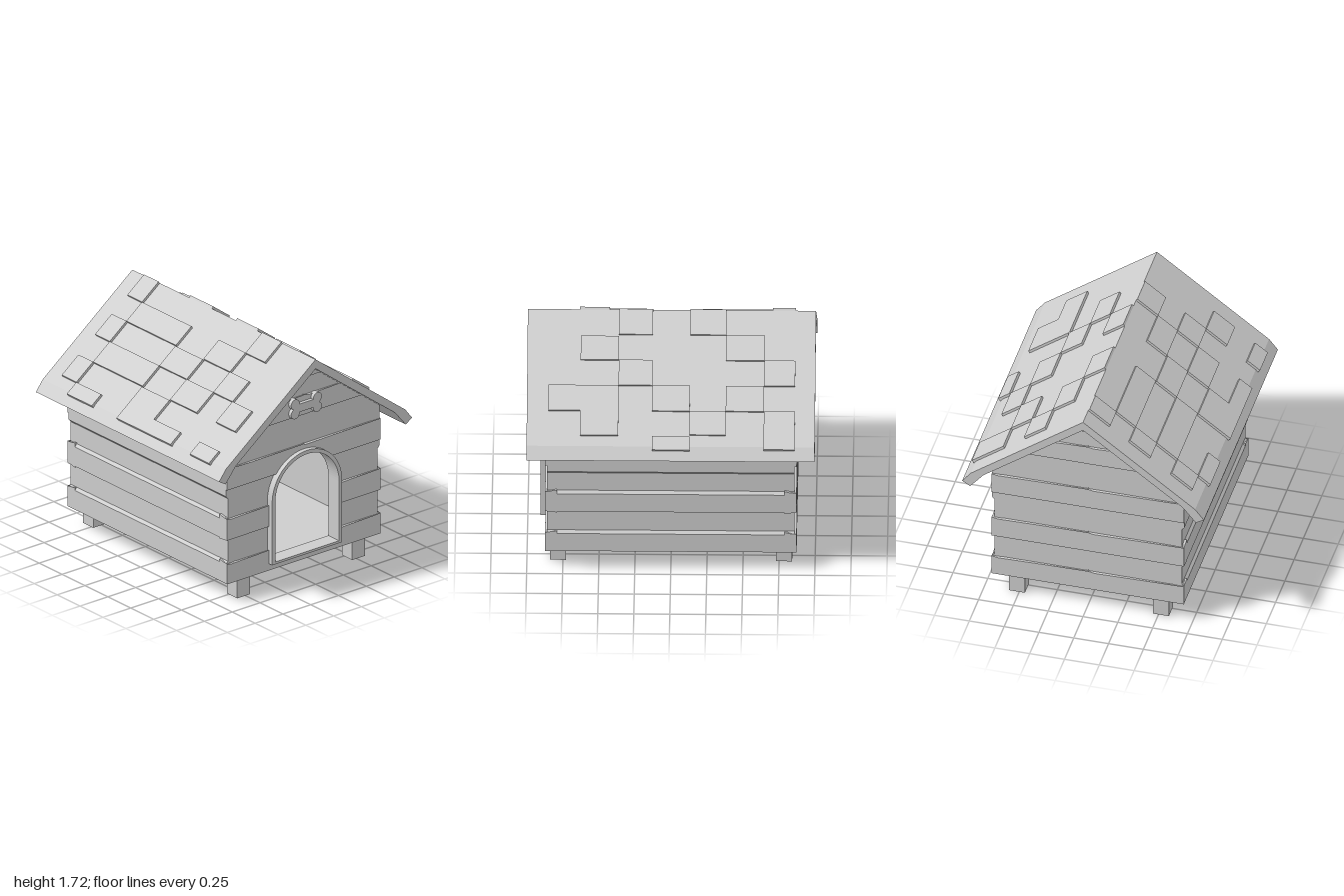
import * as THREE from 'three';

export function createModel() {
  const model = new THREE.Group();
  const grey = new THREE.MeshStandardMaterial({ color: 0xcccccc });
  grey.name = 'paleGrey';

  const add = (name, geo, parent = model) => {
    const mesh = new THREE.Mesh(geo, grey);
    mesh.name = name;
    parent.add(mesh);
    return mesh;
  };
  const group = (name) => {
    const g = new THREE.Group();
    g.name = name;
    model.add(g);
    return g;
  };
  const box = (name, w, h, d, x, y, z, parent) =>
    add(name, new THREE.BoxGeometry(w, h, d).translate(x, y, z), parent);
  const shapeOf = (pts) => new THREE.Shape(pts.map(([a, b]) => new THREE.Vector2(a, b)));
  // Extrude a (z, y) outline along x, from x0 to x1
  const alongX = (shape, x0, x1, segs = 12) =>
    new THREE.ExtrudeGeometry(shape, { depth: x1 - x0, bevelEnabled: false, curveSegments: segs })
      .translate(0, 0, x0).rotateY(Math.PI / 2);

  // Floor and feet
  box('floor', 1.7, 0.06, 1.34, 0, 0.18, 0);
  for (const x of [-0.785, 0.785])
    for (const z of [-0.517, 0.517]) box('foot', 0.112, 0.16, 0.115, x, 0.08, z);

  // Long side walls with alternating proud and recessed boards
  const side = [[0.62, 0.15], [0.69, 0.15], [0.69, 0.295], [0.672, 0.315], [0.672, 0.47], [0.69, 0.478],
    [0.69, 0.625], [0.672, 0.645], [0.672, 0.79], [0.69, 0.81], [0.69, 1.12], [0.62, 1.17]];
  for (const s of [-1, 1])
    add('sideWall', alongX(shapeOf(side.map(([z, y]) => [s * z, y])), -0.858, 0.858));

  // Gable walls: boards cut to the roof line and, at the front, to the doorway
  const roofLimit = (y) => Math.max(0, (1.64 - y) / 0.75);
  const doorHalf = (y) => {
    if (y < 0.2 || y > 0.97) return 0;
    return y < 0.67 ? 0.3 : Math.sqrt(Math.max(0, 0.09 - (y - 0.67) ** 2));
  };
  const levels = [0.15, 0.315, 0.47, 0.655, 0.85, 1.035, 1.235, 1.405, 1.515, 1.63];
  const gableWall = (name, hasDoor) => {
    const wall = group(name);
    for (let i = 0; i < levels.length - 1; i++) {
      const proud = i % 2 === 0;
      const y0 = levels[i] - (proud ? 0 : 0.03);
      const y1 = levels[i + 1] + (proud ? 0 : 0.03);
      const ys = [];
      for (let k = 0; k <= 16; k++) ys.push(y0 + ((y1 - y0) * k) / 16);
      if (y0 < 0.2) ys.push(0.199, 0.201);
      ys.sort((a, b) => a - b);
      for (const s of [-1, 1]) {
        const outer = ys.map((y) => [s * Math.min(proud ? 0.69 : 0.672, roofLimit(y)), y]);
        const inner = ys.map((y) => [s * (hasDoor ? doorHalf(y) : 0), y]).reverse();
        const geo = alongX(shapeOf([...outer, ...inner]), 0.79, proud ? 0.873 : 0.856);
        if (proud) {
          // slope the top and bottom edges of each proud board
          const p = geo.attributes.position;
          for (let v = 0; v < p.count; v++) {
            if (p.getX(v) < 0.83) continue;
            if (p.getY(v) > y1 - 0.001 && y1 < 1.6) p.setY(v, y1 - 0.022);
            if (p.getY(v) < y0 + 0.001 && y0 > 0.2) p.setY(v, y0 + 0.012);
          }
          geo.computeVertexNormals();
        }
        add('gableBoard', geo, wall);
      }
    }
    return wall;
  };
  gableWall('frontGable', true);
  gableWall('backGable', false).rotation.y = Math.PI;

  // Arched door frame
  const arch = (Type, r, bottom) => {
    const a = new Type();
    a.moveTo(-r, bottom);
    a.lineTo(r, bottom);
    a.lineTo(r, 0.67);
    a.absarc(0, 0.67, r, 0, Math.PI, false);
    a.closePath();
    return a;
  };
  const frame = arch(THREE.Shape, 0.315, 0.2);
  frame.holes.push(arch(THREE.Path, 0.287, 0.218));
  add('doorFrame', alongX(frame, 0.79, 0.908, 24));

  // Bone ornament above the door
  const bone = group('boneOrnament');
  box('boneShaft', 0.04, 0.06, 0.19, 0.88, 1.32, 0, bone);
  for (const z of [-0.1, 0.1])
    for (const dy of [-0.036, 0.036])
      add('boneKnob', new THREE.CylinderGeometry(0.038, 0.038, 0.04, 20)
        .rotateZ(Math.PI / 2).translate(0.88, 1.32 + dy, z), bone);

  // Roof slabs with turned-down eaves
  const slab = [[0, 1.705], [0.805, 1.1], [0.868, 1.02], [0.81, 0.985], [0.715, 1.1], [0, 1.635]];
  for (const s of [-1, 1])
    add('roofSlab', alongX(shapeOf(slab.map(([z, y]) => [s * z, y])), -1, 1));

  // Raised shingles: [x0, x1, [distances of upper and lower edge from the ridge]...]
  const tilt = Math.atan(0.75);
  const shingles = {
    1: [
      [-0.86, -0.7, [0, 0.15], [0.29, 0.44], [0.59, 0.74]],
      [-0.7, -0.43, [0.15, 0.29], [0.44, 0.59], [0.74, 0.825]],
      [-0.43, -0.16, [0.15, 0.29], [0.44, 0.59]],
      [-0.16, 0.14, [0.295, 0.44], [0.595, 0.74], [0.74, 0.825]],
      [0.14, 0.43, [0.15, 0.29], [0.44, 0.59], [0.735, 0.825]],
      [0.43, 0.64, [0, 0.15], [0.29, 0.44]],
      [0.64, 0.85, [0.44, 0.59], [0.735, 0.825]],
    ],
    '-1': [
      [-0.86, -0.645, [0.3, 0.45], [0.6, 0.825]],
      [-0.645, -0.38, [0.15, 0.3], [0.45, 0.6]],
      [-0.38, -0.13, [0, 0.15], [0.6, 0.74]],
      [-0.13, 0.13, [0.45, 0.6], [0.75, 0.83]],
      [0.13, 0.365, [0, 0.15], [0.3, 0.45]],
      [0.365, 0.63, [0.16, 0.3], [0.45, 0.6], [0.6, 0.745]],
      [0.63, 0.85, [0.45, 0.6]],
    ],
  };
  const tiles = group('shingles');
  for (const s of [1, -1])
    for (const [x0, x1, ...rows] of shingles[s])
      for (const [a, b] of rows) {
        const mid = (a + b) / 2;
        const tile = box('shingle', x1 - x0, 0.036, (b - a) / Math.cos(tilt), 0, 0, 0, tiles);
        tile.position.set((x0 + x1) / 2, 1.705 - 0.75 * mid, s * mid);
        tile.rotation.x = s * tilt;
      }

  return model;
}
